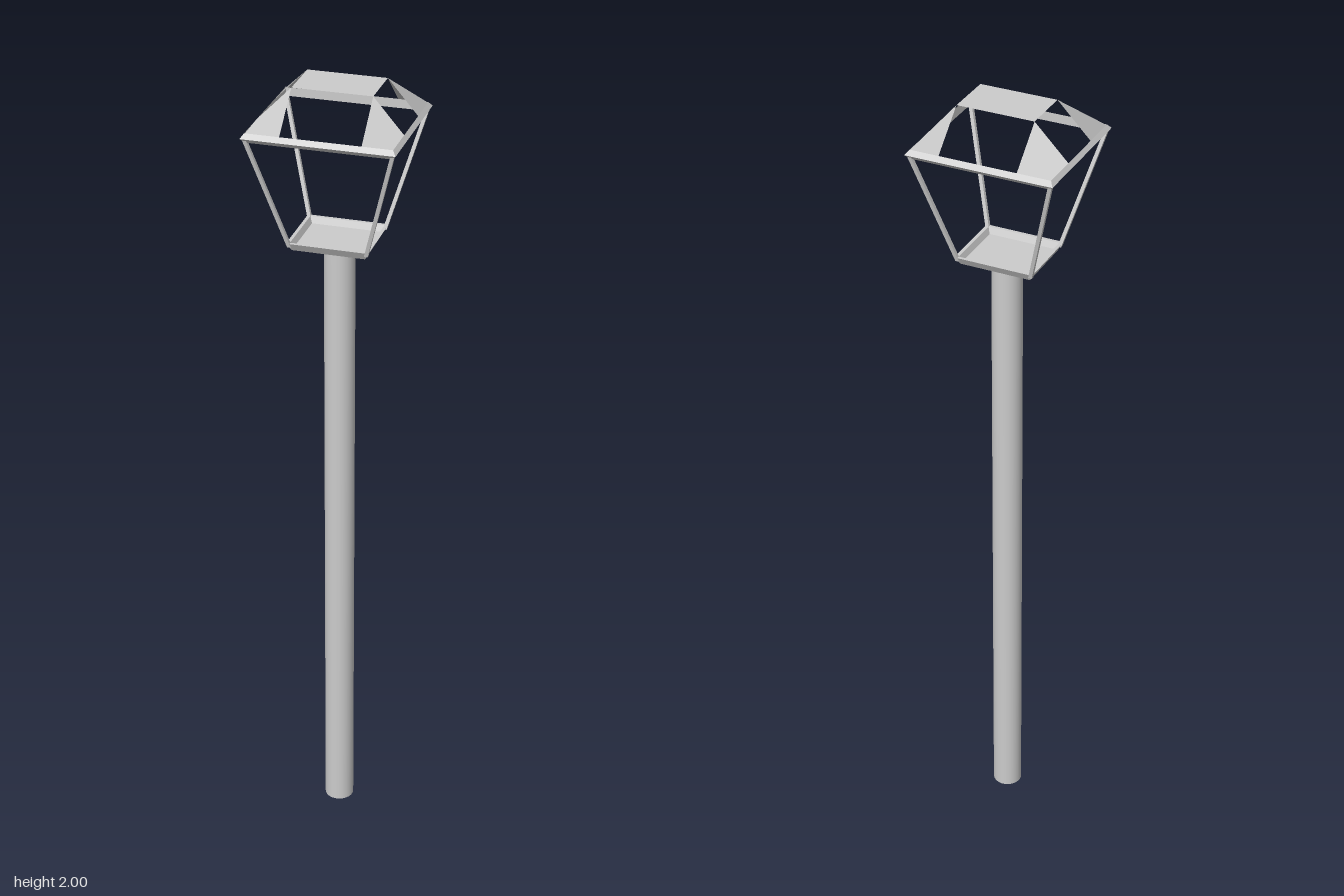
import * as THREE from 'three';

const solid = new THREE.MeshStandardMaterial({ color: 0xcccccc });
const sheet = new THREE.MeshStandardMaterial({ color: 0xcccccc, side: THREE.DoubleSide });

// Sheet made of four-cornered panels, each with one normal for the whole panel
function panels(name, quads) {
  const pos = [], nor = [];
  for (const [a, b, c, d] of quads) {
    const n = c.clone().sub(a).cross(d.clone().sub(b)).normalize();
    for (const p of [a, b, c, a, c, d]) {
      pos.push(p.x, p.y, p.z);
      nor.push(n.x, n.y, n.z);
    }
  }
  const g = new THREE.BufferGeometry();
  g.setAttribute('position', new THREE.Float32BufferAttribute(pos, 3));
  g.setAttribute('normal', new THREE.Float32BufferAttribute(nor, 3));
  const mesh = new THREE.Mesh(g, sheet);
  mesh.name = name;
  return mesh;
}

// Corners of a level rectangle, anticlockwise from above
const rect = (hx, y, hz, cx = 0) =>
  [[1, 1], [1, -1], [-1, -1], [-1, 1]].map(([sx, sz]) => new THREE.Vector3(cx + sx * hx, y, sz * hz));

// Four panels between each neighbouring pair of rectangles
function bands(...loops) {
  const quads = [];
  for (let k = 0; k + 1 < loops.length; k++)
    for (let i = 0; i < 4; i++) {
      const j = (i + 1) % 4, a = loops[k], b = loops[k + 1];
      quads.push([a[i], a[j], b[j], b[i]]);
    }
  return quads;
}

export function createModel() {
  const model = new THREE.Group();
  model.name = 'streetLamp';

  // Pole
  const pole = new THREE.Mesh(new THREE.CylinderGeometry(0.037, 0.037, 1.61, 24), solid);
  pole.name = 'pole';
  pole.position.set(0.005, 0.805, 0);
  model.add(pole);

  const lantern = new THREE.Group();
  lantern.name = 'lantern';
  model.add(lantern);

  // Shallow tray under the lantern
  const under = rect(0.088, 1.61, 0.075);
  const floor = rect(0.085, 1.615, 0.072);
  lantern.add(panels('tray', [
    [under[3], under[2], under[1], under[0]],
    ...bands(under, rect(0.099, 1.63, 0.087), rect(0.091, 1.63, 0.079), floor),
    floor,
  ]));

  // Four slanted corner posts
  for (const sx of [-1, 1]) for (const sz of [-1, 1]) {
    const g = new THREE.BoxGeometry(0.009, 1, 0.009);
    const p = g.attributes.position;
    for (let i = 0; i < p.count; i++) {
      const t = p.getY(i) + 0.5;
      p.setXYZ(i,
        p.getX(i) + sx * (0.092 + 0.08 * t),
        1.62 + 0.285 * t,
        p.getZ(i) + sz * (0.08 + 0.073 * t));
    }
    g.computeVertexNormals();
    const post = new THREE.Mesh(g, solid);
    post.name = 'cornerPost';
    lantern.add(post);
  }

  // Rim with a wedge-shaped section
  const outer = rect(0.18, 1.906, 0.161);
  const lower = rect(0.171, 1.895, 0.151);
  lantern.add(panels('rim', bands(lower, outer, rect(0.172, 1.917, 0.151), lower)));

  // Flat cap and the four folded roof corners, leaving an opening in each slope
  const cap = rect(0.095, 2, 0.06, 0.005);
  lantern.add(panels('roofCap', [cap]));
  lantern.add(panels('roofCorners', cap.map((p, i) => {
    const c = outer[i];
    const sideFoot = new THREE.Vector3(Math.sign(c.x) * 0.172, 1.917, p.z);
    const endFoot = new THREE.Vector3(p.x, 1.917, Math.sign(c.z) * 0.151);
    return c.x * c.z > 0 ? [c, sideFoot, p, endFoot] : [c, endFoot, p, sideFoot];
  })));

  return model;
}
